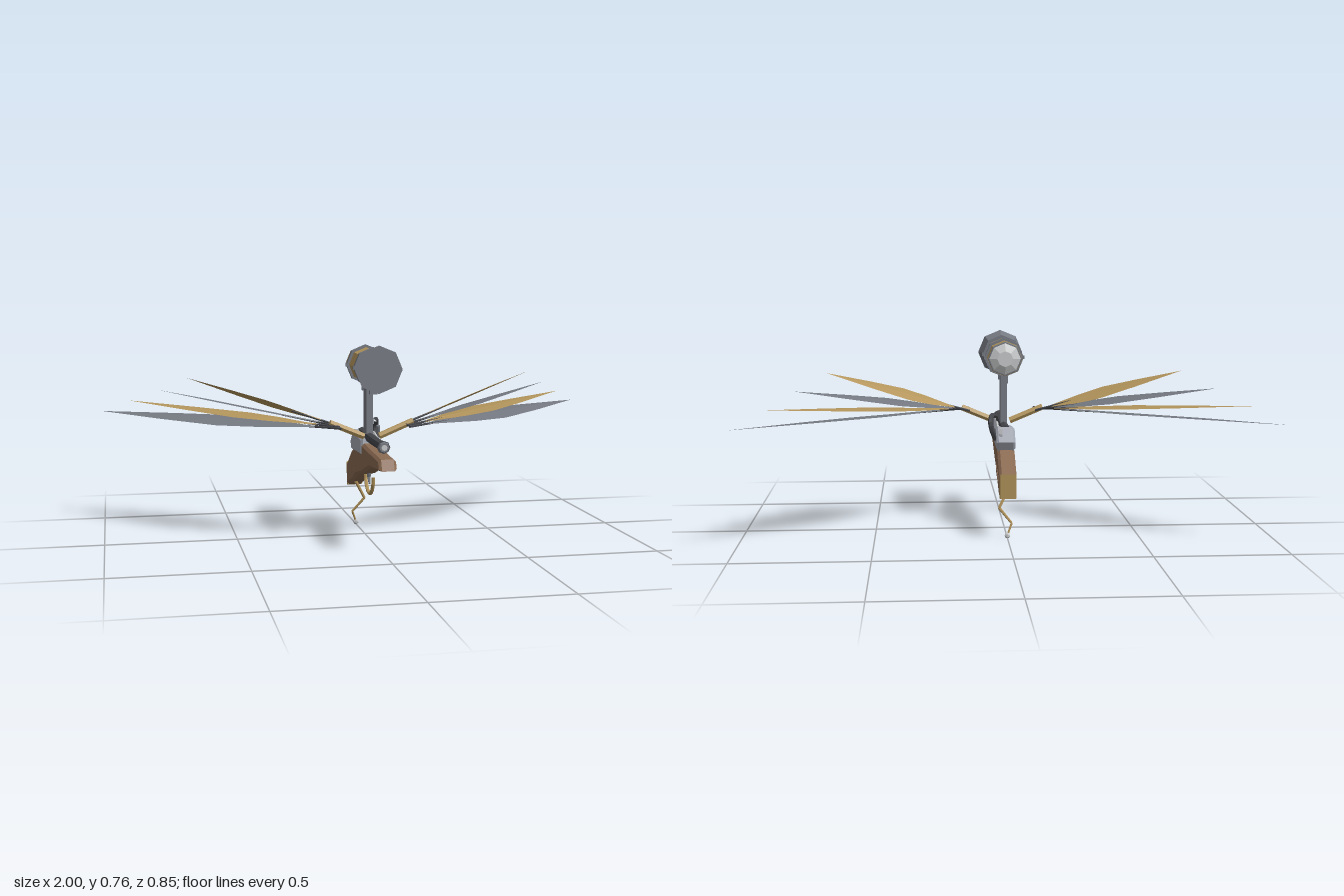
import * as THREE from 'three';

const make = (name, color, extra = {}) => {
  const m = new THREE.MeshStandardMaterial({ color, flatShading: true, ...extra });
  m.name = name;
  return m;
};

export function createModel() {
  const root = new THREE.Group();
  root.name = 'wingedRifle';
  const wood = make('wood', 0x8a6a52);
  const brass = make('brass', 0xb3955c);
  const steel = make('steel', 0x757981);
  const paleSteel = make('paleSteel', 0xa3a7b1);
  const gunmetal = make('gunmetal', 0x45464b);
  const silver = make('silver', 0xc6c8c9);
  const featherBrass = make('featherBrass', 0xb3955c, { side: THREE.DoubleSide });
  const featherSteel = make('featherSteel', 0x757981, { side: THREE.DoubleSide });

  const add = (name, geo, mat, x = 0, y = 0, z = 0, parent = root) => {
    const mesh = new THREE.Mesh(geo, mat);
    mesh.name = name;
    mesh.position.set(x, y, z);
    parent.add(mesh);
    return mesh;
  };
  const box = (name, mat, w, h, d, x, y, z) => add(name, new THREE.BoxGeometry(w, h, d), mat, x, y, z);

  // Side profile in (z, y), given a width along x
  const slab = (name, mat, pts, width, bevel = 0, x = 0) => {
    const geo = new THREE.ExtrudeGeometry(new THREE.Shape(pts.map(p => new THREE.Vector2(...p))), {
      depth: width - 2 * bevel, bevelEnabled: bevel > 0, bevelSize: bevel,
      bevelThickness: bevel, bevelOffset: -bevel, bevelSegments: 1,
    });
    geo.translate(0, 0, bevel - width / 2).rotateY(-Math.PI / 2);
    return add(name, geo, mat, x);
  };
  // Cylinder along z from back z0 (radius r0) to front z1 (radius r1)
  const drum = (name, mat, z0, z1, r0, r1, y, sides = 8, x = 0) =>
    add(name, new THREE.CylinderGeometry(r1, r0, z1 - z0, sides).rotateX(Math.PI / 2), mat, x, y, (z0 + z1) / 2);
  // Tapered rod between two points
  const rod = (name, mat, a, b, ra, rb = ra, sides = 6, parent = root) => {
    const A = new THREE.Vector3(...a), B = new THREE.Vector3(...b);
    const d = B.clone().sub(A);
    const mesh = add(name, new THREE.CylinderGeometry(rb, ra, d.length(), sides), mat, 0, 0, 0, parent);
    mesh.position.copy(A).add(B).multiplyScalar(0.5);
    mesh.quaternion.setFromUnitVectors(new THREE.Vector3(0, 1, 0), d.normalize());
    return mesh;
  };
  const path = (name, mat, pts, r) => {
    const curve = new THREE.CatmullRomCurve3(pts.map(p => new THREE.Vector3(...p)));
    return add(name, new THREE.TubeGeometry(curve, 12, r, 6), mat);
  };

  // Stock, butt plate and cheek panels
  slab('stock', wood, [[0.425, 0.322], [0.405, 0.362], [0.1, 0.376], [-0.1, 0.326], [-0.212, 0.252],
    [-0.208, 0.163], [-0.075, 0.208], [-0.04, 0.23], [0.09, 0.26], [0.235, 0.305]], 0.066, 0.01);
  slab('buttPlate', brass, [[-0.21, 0.25], [-0.223, 0.255], [-0.215, 0.16], [-0.203, 0.165]], 0.062, 0.002);
  for (const s of [-1, 1])
    slab('cheekPanel', wood, [[-0.048, 0.262], [-0.16, 0.24], [-0.164, 0.22], [-0.14, 0.222], [-0.06, 0.24]],
      0.004, 0, s * 0.034);

  // Receiver and its fittings
  slab('receiver', paleSteel, [[0.107, 0.33], [0.098, 0.394], [0.02, 0.402], [-0.06, 0.41], [-0.118, 0.358],
    [-0.098, 0.323]], 0.072, 0.008);
  box('sidePlate', steel, 0.012, 0.016, 0.042, 0.038, 0.375, 0.055);
  rod('hammer', steel, [0.036, 0.375, 0.06], [0.036, 0.44, 0.08], 0.008);
  path('boltLever', gunmetal, [[0.036, 0.36, -0.045], [0.05, 0.395, -0.06], [0.056, 0.425, -0.06],
    [0.05, 0.45, -0.03], [0.036, 0.445, 0]], 0.01);
  for (const z of [-0.078, -0.096, -0.113]) box('sightPin', silver, 0.01, 0.03, 0.006, 0.02, 0.395, z);
  drum('sightRail', paleSteel, -0.118, -0.05, 0.006, 0.006, 0.385, 6, 0.02);

  // Barrel, muzzle and side pipe
  drum('barrel', gunmetal, -0.06, 0.31, 0.02, 0.017, 0.397);
  drum('muzzle', gunmetal, 0.3, 0.345, 0.019, 0.024, 0.397);
  drum('muzzleRim', steel, 0.345, 0.355, 0.021, 0.018, 0.397);
  drum('muzzleInsert', silver, 0.354, 0.358, 0.011, 0.011, 0.397);
  path('sidePipe', silver, [[0.02, 0.395, 0.33], [0.022, 0.392, 0.22], [0.022, 0.402, 0.12],
    [0.025, 0.41, 0.05], [0.026, 0.398, -0.03]], 0.005);

  // Trigger and guard
  add('triggerGuard', new THREE.TorusGeometry(0.075, 0.007, 6, 8, Math.PI).rotateZ(Math.PI).rotateY(Math.PI / 2),
    brass, 0, 0.255, 0.087);
  rod('triggerTop', steel, [0, 0.27, 0.085], [0, 0.242, 0.08], 0.008, 0.007);
  rod('triggerTip', steel, [0, 0.242, 0.08], [0, 0.218, 0.092], 0.007, 0.004);

  // Crooked tail with ball
  const tail = [[-0.008, 0.185, -0.14], [0.03, 0.115, -0.157], [-0.017, 0.058, -0.171], [0, 0.014, -0.182]];
  for (let i = 0; i < 3; i++)
    rod('tailSegment', brass, tail[i], tail[i + 1], 0.0065 - i * 0.001, 0.0055 - i * 0.001);
  add('tailBall', new THREE.IcosahedronGeometry(0.012, 0), silver, 0, 0.013, -0.182);

  // Scope on its post
  box('scopePost', steel, 0.026, 0.21, 0.053, 0, 0.51, 0.067);
  drum('scopeBody', brass, -0.045, 0.216, 0.067, 0.063, 0.67);
  drum('scopeHood', steel, 0.215, 0.26, 0.072, 0.089, 0.67);
  drum('scopeRearRim', steel, -0.05, -0.042, 0.064, 0.067, 0.67);
  drum('eyepiece', silver, -0.064, -0.049, 0.03, 0.062, 0.67);
  for (const z of [0.16, 0.014]) {
    drum('scopeRing', steel, z - 0.009, z + 0.009, 0.076, 0.076, 0.67);
    box('ringFoot', steel, 0.028, 0.04, 0.02, 0, 0.59, z);
    box('ringScrew', steel, 0.156, 0.014, 0.012, 0, 0.67, z);
  }

  // Flat feather blade: outline of (fraction along, share of half width)
  const outline = [[0.1, 0.06], [0.3, 0.75], [0.45, 1], [0.7, 0.62]];
  const feather = (from, to, half, roll) => {
    const A = new THREE.Vector3(...from), d = new THREE.Vector3(...to).sub(A);
    const w = new THREE.Vector3(-d.z, 0, d.x).normalize();
    w.y = roll;
    w.normalize();
    const pos = [], idx = [];
    for (const [t, k] of outline)
      for (const s of [-1, 0, 1]) {
        const p = A.clone().addScaledVector(d, t).addScaledVector(w, s * k * half);
        if (s === 0) p.y += 0.004;
        pos.push(p.x, p.y, p.z);
      }
    pos.push(...to);
    for (let i = 0; i < 3; i++)
      for (let j = 0; j < 2; j++) {
        const a = i * 3 + j;
        idx.push(a, a + 1, a + 3, a + 1, a + 4, a + 3);
      }
    idx.push(9, 10, 12, 10, 11, 12);
    const geo = new THREE.BufferGeometry();
    geo.setAttribute('position', new THREE.Float32BufferAttribute(pos, 3));
    geo.setIndex(idx);
    geo.computeVertexNormals();
    return geo;
  };

  // Wings: mount arm and four fanned feathers with dark quills
  const feathers = [
    { tip: [1, 0.46, -0.425], z: 0.205, half: 0.088, roll: -0.1, mat: featherSteel },
    { tip: [0.89, 0.514, -0.305], z: 0.172, half: 0.076, roll: 0, mat: featherBrass },
    { tip: [0.785, 0.567, -0.185], z: 0.14, half: 0.062, roll: 0.15, mat: featherSteel },
    { tip: [0.675, 0.622, -0.065], z: 0.11, half: 0.05, roll: 0.4, mat: featherBrass },
  ];
  for (const s of [1, -1]) {
    const wing = new THREE.Group();
    wing.name = s > 0 ? 'leftWing' : 'rightWing';
    root.add(wing);
    rod('wingArm', brass, [s * 0.03, 0.408, 0.13], [s * 0.16, 0.462, 0.13], 0.013, 0.013, 6, wing);
    feathers.forEach(f => {
      const from = [s * 0.13, 0.45, f.z], to = [s * f.tip[0], f.tip[1], f.tip[2]];
      const w = feather(from, to, f.half, s * f.roll);
      // the blade's width axis turns over on the mirrored side, so the roll is signed
      add('feather', w, f.mat, 0, 0, 0, wing);
      const end = from.map((v, i) => v + (to[i] - v) * 0.3);
      rod('quill', gunmetal, from, end, 0.005, 0.003, 5, wing);
    });
  }
  return root;
}
